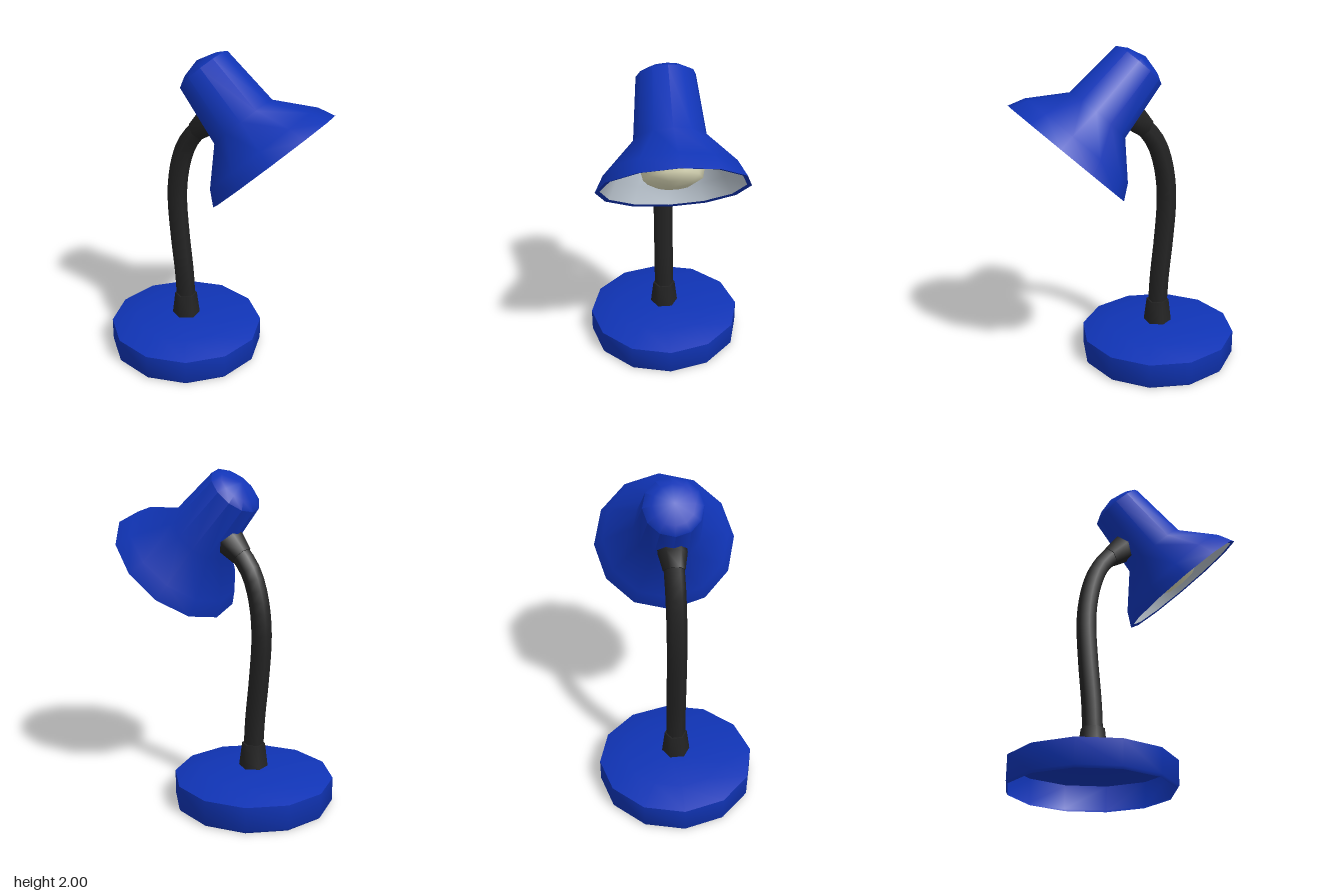
import * as THREE from 'three';
import { toCreasedNormals } from 'three/addons/utils/BufferGeometryUtils.js';

const material = (name, color, side = THREE.FrontSide) => {
  const m = new THREE.MeshStandardMaterial({ color, side });
  m.name = name;
  return m;
};

// Revolve a profile of [radius, height] pairs, keeping strong edges sharp
function lathe(name, profile, sides, mat, crease = 1) {
  const points = profile.map(([r, y]) => new THREE.Vector2(r, y));
  const mesh = new THREE.Mesh(toCreasedNormals(new THREE.LatheGeometry(points, sides), crease), mat);
  mesh.name = name;
  return mesh;
}

export function createModel() {
  const blue = material('blue enamel', 0x1034b6, THREE.DoubleSide);
  const black = material('black rubber', 0x232323);
  const white = material('reflector grey', 0xbcc6d0, THREE.DoubleSide);
  const cream = material('bulb cream', 0xdedcba);

  const lamp = new THREE.Group();
  lamp.name = 'deskLamp';
  const baseX = -0.215;

  // Hollow base, open underneath
  const base = lathe('base', [
    [0.475, 0], [0.485, 0.015], [0.485, 0.16], [0.325, 0.21], [0.08, 0.22], [0, 0.22],
  ], 12, blue);
  base.position.x = baseX;
  lamp.add(base);

  // Tapered socket at the foot of the stem
  const socket = lathe('stemSocket', [[0, 0.2], [0.09, 0.2], [0.07, 0.365], [0, 0.365]], 6, black, 1.2);
  socket.position.x = baseX;
  lamp.add(socket);

  // Bent gooseneck stem
  const path = new THREE.CatmullRomCurve3([
    [-0.215, 0.34], [-0.225, 0.52], [-0.25, 0.77], [-0.266, 1.0], [-0.262, 1.13],
    [-0.237, 1.28], [-0.19, 1.41], [-0.12, 1.505], [-0.05, 1.57],
  ].map(([x, y]) => new THREE.Vector3(x, y, 0)));
  const stem = new THREE.Mesh(new THREE.TubeGeometry(path, 20, 0.06, 6), black);
  stem.name = 'stem';
  lamp.add(stem);

  // Collar joining the stem to the shade
  const collar = lathe('shadeCollar', [[0, 0], [0.065, 0], [0.086, 0.1], [0.086, 0.17], [0, 0.17]], 6, black, 1.2);
  collar.position.set(-0.12, 1.505, 0);
  collar.rotation.z = -0.83;
  lamp.add(collar);

  // Tilted head: local origin at the rim centre, +y toward the closed end
  const head = new THREE.Group();
  head.name = 'head';
  head.position.set(0.3775, 1.4075, 0);
  head.rotation.z = 0.7615;
  head.add(
    lathe('shade', [
      [0.405, 0.006], [0.4315, 0], [0.383, 0.094], [0.206, 0.285],
      [0.17, 0.655], [0.12, 0.685], [0, 0.72],
    ], 12, blue),
    lathe('reflector', [
      [0, 0.66], [0.14, 0.62], [0.18, 0.29], [0.355, 0.1], [0.405, 0.006],
    ], 12, white),
    lathe('bulb', [
      [0, 0.01], [0.1, 0.02], [0.165, 0.055], [0.185, 0.14], [0.15, 0.23], [0.08, 0.32], [0.06, 0.6],
    ], 10, cream, 1.4),
  );
  lamp.add(head);
  return lamp;
}
